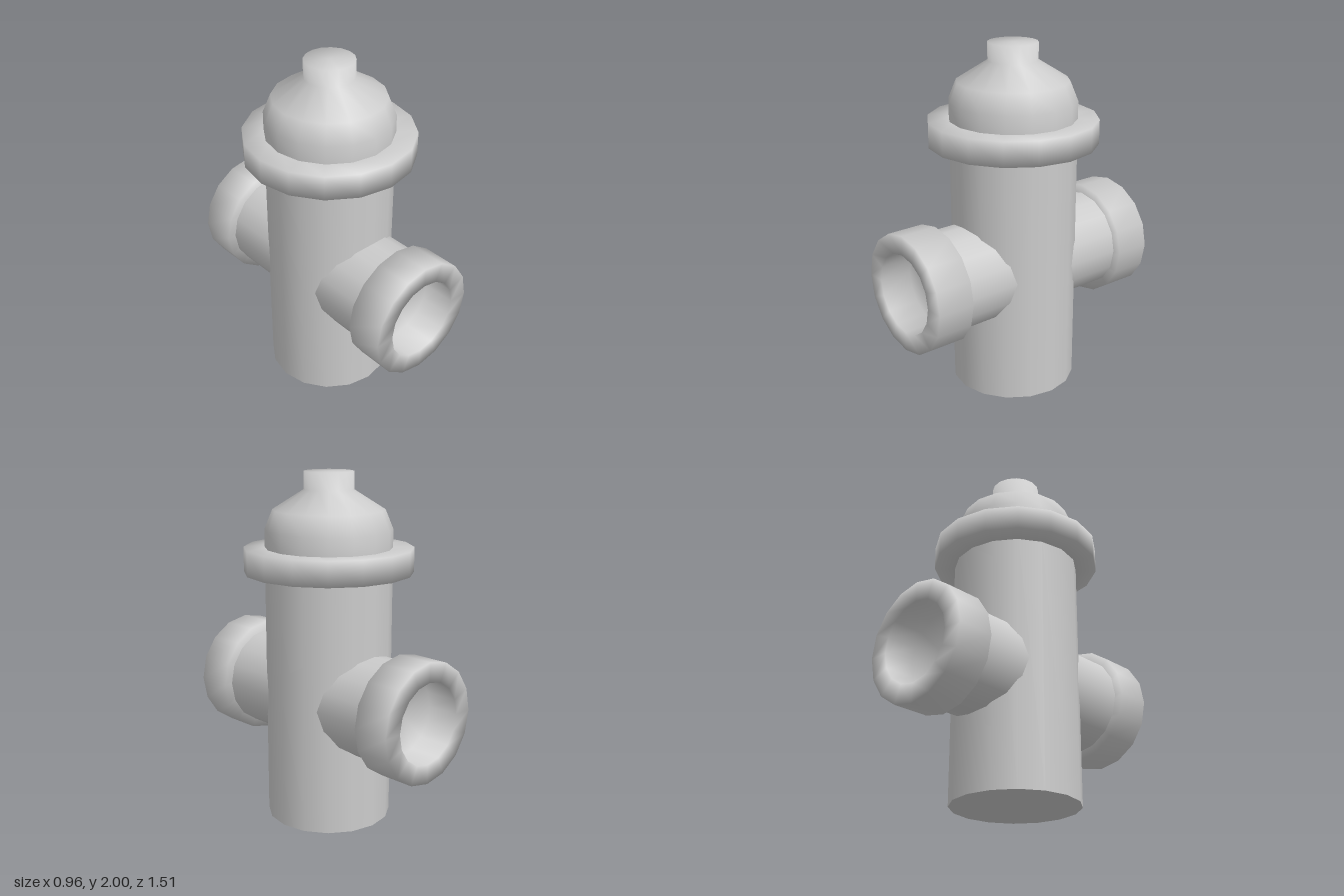
import * as THREE from 'three';

const SIDES = 16;
const material = new THREE.MeshStandardMaterial({ color: 0xcccccc });

// Turned part from [radius, height] pairs, listed from bottom to top
function turned(name, profile) {
  const points = profile.map(([r, y]) => new THREE.Vector2(r, y));
  const mesh = new THREE.Mesh(new THREE.LatheGeometry(points, SIDES), material);
  mesh.name = name;
  return mesh;
}

// Side outlet along +z: short pipe and a thick hollow coupling
function createOutlet(name) {
  const outlet = new THREE.Group();
  outlet.name = name;
  const pipe = turned('outletPipe', [[0.29, 0.1], [0.29, 0.56]]);
  const coupling = turned('outletCoupling', [
    [0.2, 0.54], [0.34, 0.54], [0.34, 0.757], [0.23, 0.757], [0.23, 0.57], [0, 0.57],
  ]);
  for (const part of [pipe, coupling]) {
    part.rotation.x = Math.PI / 2;
    part.position.y = 0.72;
    outlet.add(part);
  }
  return outlet;
}

export function createModel() {
  const hydrant = new THREE.Group();
  hydrant.name = 'hydrant';

  // Barrel with a flat closed base
  hydrant.add(turned('barrel', [[0.36, 0], [0.36, 1.5]]));
  const base = new THREE.Mesh(new THREE.CircleGeometry(0.36, SIDES), material);
  base.name = 'barrelBase';
  base.rotation.x = Math.PI / 2;
  hydrant.add(base);

  // Wide flange below the bonnet
  hydrant.add(turned('flange', [[0.34, 1.44], [0.48, 1.44], [0.48, 1.58], [0.34, 1.58]]));

  // Domed bonnet rising into the operating nut
  hydrant.add(turned('bonnet', [
    [0.36, 1.56], [0.36, 1.68], [0.315, 1.79], [0.14, 1.9], [0.14, 2], [0, 2],
  ]));

  // Matching outlets at front and back
  const front = createOutlet('frontOutlet');
  const back = createOutlet('backOutlet');
  back.rotation.y = Math.PI;
  hydrant.add(front, back);

  return hydrant;
}
